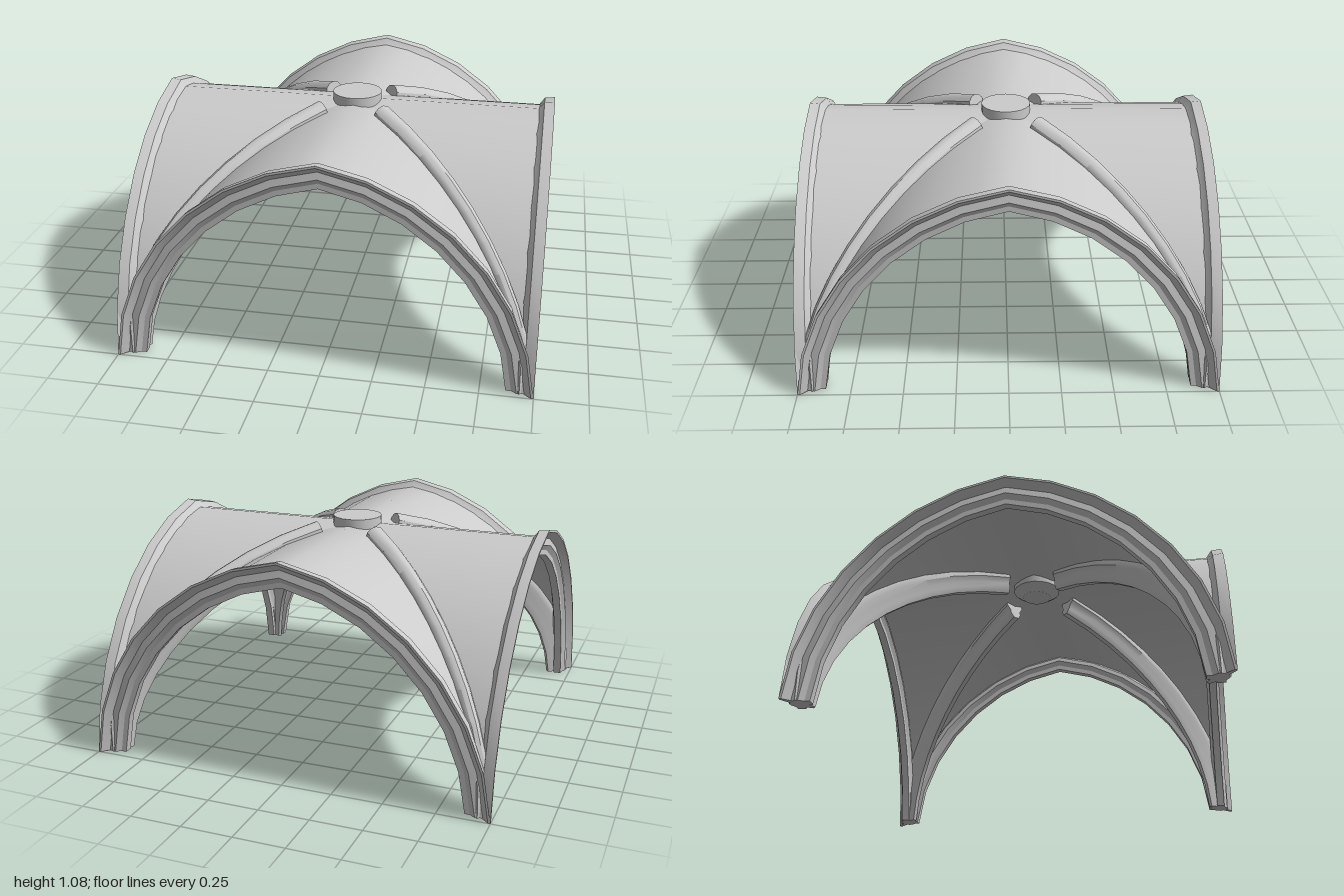
import * as THREE from 'three';
import { toCreasedNormals } from 'three/addons/utils/BufferGeometryUtils.js';

const A = 0.083; // each half arch is struck from a centre this far past the middle
const STEPS = 7;

// Point on a half arch of radius r, t = 0 at the foot and 1 at the crown
function archPoint(r, t) {
  const angle = t * Math.acos(A / r);
  const rr = r - 0.03 * Math.sin(Math.PI * t);
  return { x: rr * Math.cos(angle) - A, y: rr * Math.sin(angle) };
}

// Skin rows of points; closed rows form a tube with capped ends
function loft(rows, closed) {
  const n = rows[0].length;
  const pos = rows.flat(2);
  const index = [];
  const sides = closed ? n : n - 1;
  for (let i = 0; i < rows.length - 1; i++) {
    for (let j = 0; j < sides; j++) {
      const k = (j + 1) % n;
      const a = i * n + j, b = i * n + k, c = b + n, d = a + n;
      index.push(a, d, c, a, c, b);
    }
  }
  if (closed) {
    for (const [row, flip] of [[0, false], [rows.length - 1, true]]) {
      const centre = pos.length / 3;
      for (let c = 0; c < 3; c++) pos.push(rows[row].reduce((s, p) => s + p[c], 0) / n);
      for (let j = 0; j < n; j++) {
        const a = row * n + j, b = row * n + (j + 1) % n;
        index.push(centre, flip ? b : a, flip ? a : b);
      }
    }
  }
  const geo = new THREE.BufferGeometry();
  geo.setAttribute('position', new THREE.Float32BufferAttribute(pos, 3));
  geo.setIndex(index);
  return geo;
}

// Moulded edge arch on the +z side, mitred at the corners; profile is [z, radius]
function edgeArchGeometry() {
  const profile = [
    [1, 1.083], [1, 1.072], [0.965, 1.04], [0.972, 1.005], [0.955, 0.98], [0.955, 0.954],
    [0.915, 0.954], [0.915, 0.98], [0.9, 1.005], [0.905, 1.03], [0.925, 1.043], [0.95, 1.077],
  ];
  const rows = [];
  for (let i = 0; i <= 2 * STEPS; i++) {
    const left = i <= STEPS;
    const t = left ? i / STEPS : 2 - i / STEPS;
    rows.push(profile.map(([z, r]) => {
      const p = archPoint(r, t);
      const x = Math.min(p.x, z);
      return [left ? x : -x, p.y, z];
    }));
  }
  return toCreasedNormals(loft(rows, true), 0.5);
}

// Diagonal rib from the +x +z corner to the boss; profile is [half width, radius]
function ribGeometry() {
  const half = [
    [0.028, 1.092], [0.048, 1.07], [0.052, 1.035], [0.034, 1.01], [0.032, 0.985], [0.016, 0.96],
  ];
  const profile = [[0, 1.1], ...half, ...half.slice().reverse().map(([w, r]) => [-w, r])];
  const rows = [];
  const steps = 10, end = 0.9;
  for (let i = 0; i <= steps; i++) {
    const t = end * i / steps;
    const taper = 0.6 + 0.4 * t;
    rows.push(profile.map(([w, r]) => {
      const p = archPoint(r > 1.04 ? 1.04 + (r - 1.04) * taper : r, t);
      const s = Math.min(p.x, 0.955);
      const side = w * taper * Math.SQRT1_2;
      return [s - side, p.y, s + side];
    }));
  }
  return toCreasedNormals(loft(rows, true), 0.6);
}

// Curved vault panel between two diagonals on the +z side
function webGeometry() {
  const rows = [];
  const start = 0.13, edge = 0.93;
  for (let i = 0; i <= 20; i++) {
    const left = i <= 10;
    const t = start + (1 - start) * (left ? i / 10 : 2 - i / 10);
    const p = archPoint(1.043, t);
    const x = Math.min(p.x, edge);
    const sx = left ? x : -x;
    rows.push([[sx, p.y, x], [sx, p.y, edge]]);
  }
  const geo = loft(rows, false);
  geo.computeVertexNormals();
  return geo;
}

export function createModel() {
  const group = new THREE.Group();
  const stone = new THREE.MeshStandardMaterial({ color: 0xcccccc });
  const shell = new THREE.MeshStandardMaterial({ color: 0xcccccc, side: THREE.DoubleSide });

  // Four equal bays turned about the centre
  const parts = [
    ['edgeArch', edgeArchGeometry(), stone],
    ['diagonalRib', ribGeometry(), stone],
    ['vaultWeb', webGeometry(), shell],
  ];
  for (let k = 0; k < 4; k++) {
    for (const [name, geo, mat] of parts) {
      const mesh = new THREE.Mesh(geo, mat);
      mesh.name = name + (k + 1);
      mesh.rotation.y = k * Math.PI / 2;
      group.add(mesh);
    }
  }

  // Round boss where the ribs meet
  const outline = [[0, 0.965], [0.075, 0.965], [0.125, 1.0], [0.125, 1.075], [0, 1.075]];
  const boss = new THREE.Mesh(
    toCreasedNormals(new THREE.LatheGeometry(outline.map(([x, y]) => new THREE.Vector2(x, y)), 20), 0.5),
    stone,
  );
  boss.name = 'centralBoss';
  group.add(boss);
  return group;
}
